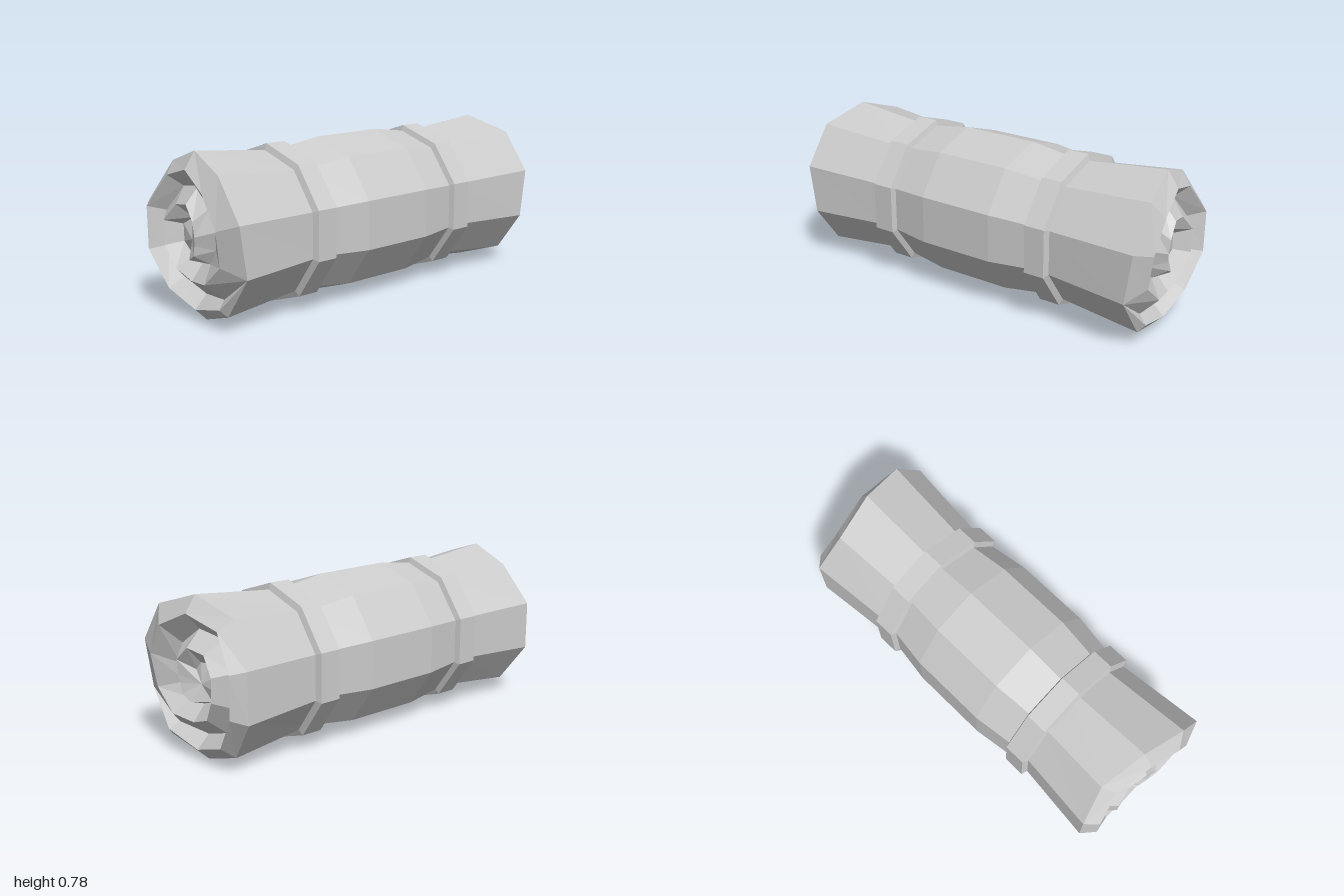
import * as THREE from 'three';

const SIDES = 10, R = 0.388, CY = 0.388;

// Uneven end edge: one z per corner, clockwise from the lower right corner
const EDGE = [0.92, 0.92, 0.87, 0.88, 0.91, 0.91, 0.87, 0.91, 0.955, 0.955];

// Radii of the spiral's raised fold and of its groove, one per clockwise corner
const RIDGE = [0.388, 0.348, 0.329, 0.33, 0.325, 0.329, 0.32, 0.31, 0.287, 0.27, 0.26, 0.222,
  0.194, 0.192, 0.182, 0.188, 0.173, 0.156, 0.112, 0.073, 0.062, 0.083, 0.095, 0.117];
const GROOVE = [0.388, 0.306, 0.267, 0.27, 0.257, 0.267, 0.255, 0.231, 0.184, 0.15, 0.13, 0.135,
  0.119, 0.117, 0.127, 0.13, 0.097, 0.077, 0.048];

const material = new THREE.MeshStandardMaterial({ color: 0xcccccc, flatShading: true });

function point(k, r, z) {
  const a = -Math.PI / 10 - (k * 2 * Math.PI) / SIDES;
  return [r * Math.cos(a), CY + r * Math.sin(a), z];
}

function meshFrom(triangles, name) {
  const geometry = new THREE.BufferGeometry();
  geometry.setAttribute('position', new THREE.Float32BufferAttribute(triangles.flat(2), 3));
  geometry.computeVertexNormals();
  const mesh = new THREE.Mesh(geometry, material);
  mesh.name = name;
  return mesh;
}

const quad = (a, b, c, d) => [[a, b, c], [a, c, d]];

// Ten-sided skin through [radius, z(k)] sections ordered from back to front
function loft(sections, name) {
  const triangles = [];
  for (let s = 0; s < sections.length - 1; s++) {
    const [r0, z0] = sections[s], [r1, z1] = sections[s + 1];
    for (let k = 0; k < SIDES; k++) {
      const n = (k + 1) % SIDES;
      triangles.push(...quad(point(n, r0, z0(n)), point(k, r0, z0(k)),
        point(k, r1, z1(k)), point(n, r1, z1(n))));
    }
  }
  return meshFrom(triangles, name);
}

// Spiral end of the roll; side is 1 for front, -1 for back
function rolledEnd(side, name) {
  const depth = (k, r, lift) => 0.91 + (EDGE[k % SIDES] - 0.91) * (r / R) + lift;
  const outer = (k) => point(k, R, EDGE[k % SIDES]);
  const groove = (k) => point(k, GROOVE[k], depth(k, GROOVE[k], k === 0 ? 0 : -0.015));
  const ridge = (k) => {
    if (k === 0 || k === 23) return groove(k === 0 ? 0 : 13);
    return point(k, RIDGE[k], depth(k, RIDGE[k], k === 1 ? 0.03 : 0.055));
  };
  const triangles = [];
  const strip = (outside, inside, count) => {
    for (let k = 0; k < count; k++) {
      triangles.push(...quad(outside(k), inside(k), inside(k + 1), outside(k + 1)));
    }
  };
  strip(outer, ridge, 10);
  strip(ridge, groove, 18);
  strip(groove, (k) => ridge(k + 10), 13);

  // Core of the spiral
  const core = [];
  for (let k = 13; k <= 18; k++) core.push(groove(k));
  for (let k = 18; k <= 23; k++) core.push(ridge(k));
  const centre = [-0.03, 0.375, 0.915];
  for (let i = 0; i < core.length - 1; i++) triangles.push([core[i], centre, core[i + 1]]);

  // Mirror the back end, turning its faces round
  const placed = side > 0 ? triangles
    : triangles.map((t) => t.map(([x, y, z]) => [x, y, -z]).reverse());
  return meshFrom(placed, name);
}

export function createModel() {
  const group = new THREE.Group();
  group.name = 'bedroll';
  const flat = (z) => () => z;

  // Cloth skin, pinched where the straps hold it
  group.add(loft([
    [R, (k) => -EDGE[k]], [0.341, flat(-0.45)], [0.378, flat(-0.19)],
    [0.378, flat(0.2)], [0.341, flat(0.46)], [R, (k) => EDGE[k]],
  ], 'rollBody'));

  group.add(rolledEnd(1, 'frontRolledEnd'), rolledEnd(-1, 'backRolledEnd'));

  // Bevelled straps
  for (const [z, name] of [[0.457, 'frontStrap'], [-0.447, 'backStrap']]) {
    group.add(loft([
      [0.335, flat(z - 0.067)], [0.378, flat(z - 0.053)],
      [0.378, flat(z + 0.053)], [0.335, flat(z + 0.067)],
    ], name));
  }
  return group;
}
